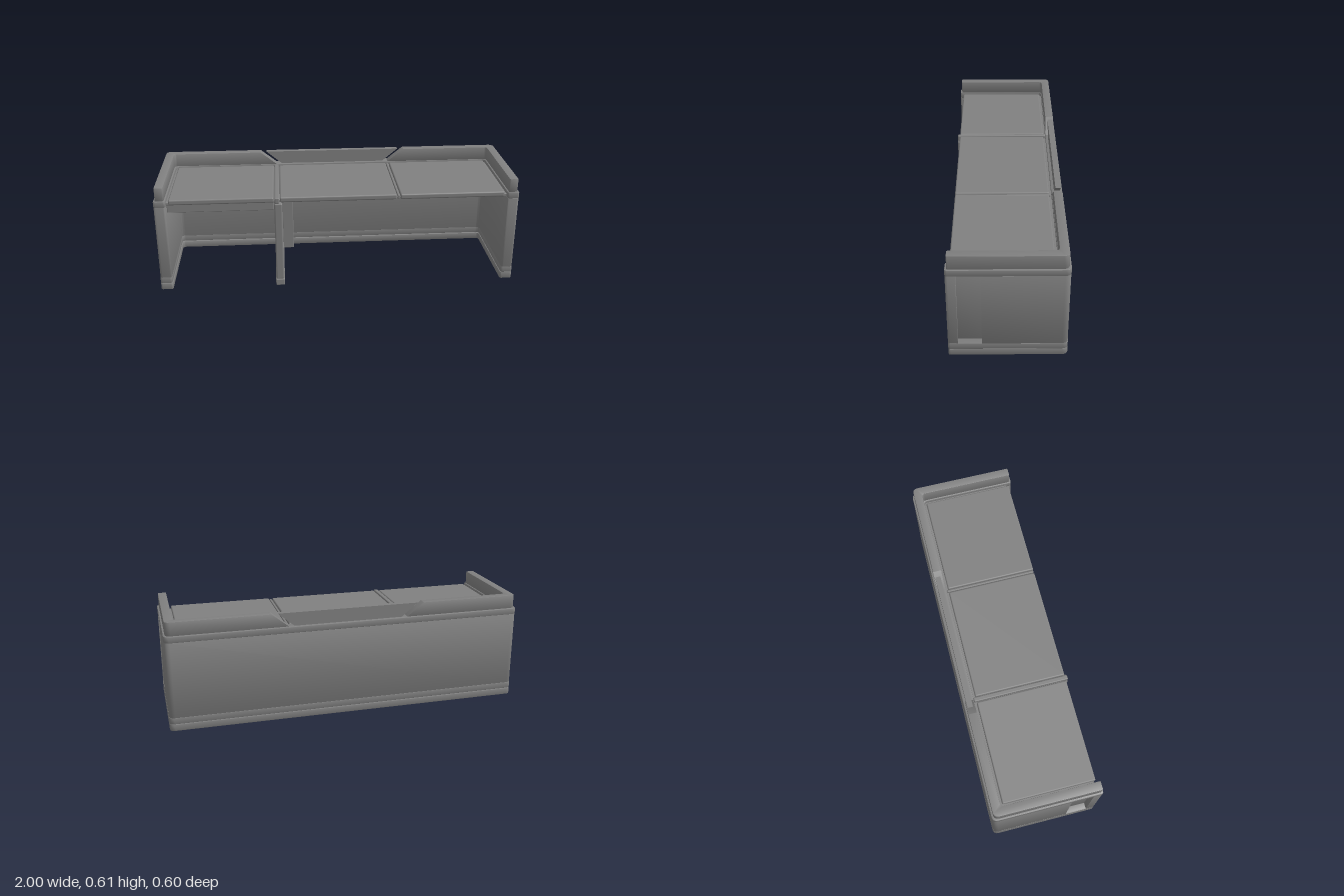
import * as THREE from 'three';
import { toCreasedNormals } from 'three/addons/utils/BufferGeometryUtils.js';
import { RoundedBoxGeometry } from 'three/addons/geometries/RoundedBoxGeometry.js';

const grey = new THREE.MeshStandardMaterial({ color: 0x808080 });
grey.name = 'grey';

// Plan outline from [x, z, cornerRadius] points, with rounded corners.
function outline(points) {
  const shape = new THREE.Shape();
  const n = points.length;
  points.forEach(([x, z, r = 0], i) => {
    const p = new THREE.Vector2(x, -z);
    const toward = ([qx, qz]) => p.clone().add(new THREE.Vector2(qx, -qz).sub(p).setLength(r));
    const a = toward(points[(i + n - 1) % n]);
    const b = toward(points[(i + 1) % n]);
    if (i === 0) shape.moveTo(a.x, a.y); else shape.lineTo(a.x, a.y);
    if (r > 0) shape.quadraticCurveTo(p.x, p.y, b.x, b.y);
  });
  shape.closePath();
  return shape;
}

// Raises a plan outline from y0 to y1 with softened edges.
function raise(shape, y0, y1, bevel) {
  const geo = new THREE.ExtrudeGeometry(shape, {
    depth: y1 - y0 - 2 * bevel, bevelThickness: bevel, bevelSize: bevel,
    bevelOffset: -bevel, bevelSegments: 2, curveSegments: 6,
  });
  return geo.rotateX(-Math.PI / 2).translate(0, y0 + bevel, 0);
}

// U-shaped wall open to the front; notch cuts a niche into both outer sides.
function wallPlan(X, zBack, zFront, side, back, notch) {
  const half = [[X, zBack, 0.03]];
  if (notch) half.push([X, 0.13], [X - notch, 0.13], [X - notch, 0.25], [X, 0.25]);
  half.push([X, zFront, 0.012], [X - side, zFront, 0.012], [X - side, zBack + back, 0.02]);
  const mirrored = half.map(([x, z, r]) => [-x, z, r]).reverse();
  return outline([...half, ...mirrored]);
}

export function createModel() {
  const group = new THREE.Group();
  const add = (name, geo) => {
    const mesh = new THREE.Mesh(geo, grey);
    mesh.name = name;
    group.add(mesh);
    return mesh;
  };
  const solid = (name, geo) => add(name, toCreasedNormals(geo, 0.6));
  const block = (name, x0, x1, y0, y1, z0, z1, r = 0.004) => {
    const geo = new RoundedBoxGeometry(x1 - x0, y1 - y0, z1 - z0, 2, r);
    add(name, geo).position.set((x0 + x1) / 2, (y0 + y1) / 2, (z0 + z1) / 2);
  };

  // Outer wall: plinth, lower band, niche panel and upper band
  solid('plinth', raise(wallPlan(1, -0.3, 0.3, 0.068, 0.068), 0, 0.039, 0.004));
  solid('lowerBand', raise(wallPlan(1, -0.3, 0.3, 0.065, 0.06), 0.04, 0.076, 0.002));
  solid('wallPanel', raise(wallPlan(0.999, -0.299, 0.3, 0.064, 0.059, 0.035), 0.075, 0.5, 0.001));
  solid('upperBand', raise(wallPlan(1, -0.3, 0.3, 0.065, 0.06), 0.499, 0.535, 0.004));

  // Raised rail, in two mirrored halves with slanted ends at the back opening
  for (const s of [1, -1]) {
    const plan = outline([
      [s * 0.43, -0.29], [s * 0.99, -0.29, 0.03], [s * 0.99, 0.29, 0.006],
      [s * 0.943, 0.29, 0.006], [s * 0.943, -0.243, 0.02], [s * 0.43, -0.243],
    ]);
    const geo = raise(plan, 0.533, 0.61, 0.002);
    const pos = geo.attributes.position;
    for (let i = 0; i < pos.count; i++) {
      const x = pos.getX(i);
      if (Math.abs(x) < 0.5) pos.setX(i, x - s * (0.61 - pos.getY(i)) * 1.25);
    }
    geo.computeVertexNormals();
    solid(s > 0 ? 'leftRail' : 'rightRail', geo);
  }

  // Slim tapered screen filling the opening in the rail
  const screen = new THREE.Shape([[-0.305, 0.535], [0.305, 0.535], [0.395, 0.61], [-0.395, 0.61]]
    .map(([x, y]) => new THREE.Vector2(x, y)));
  solid('screen', new THREE.ExtrudeGeometry(screen, { depth: 0.03, bevelEnabled: false })
    .translate(0, 0, -0.285));

  // Worktop: base board, three panels and the joint strip
  block('worktopBase', -0.94, 0.94, 0.5, 0.517, -0.245, 0.27);
  for (const [x0, x1] of [[-0.922, -0.353], [-0.32, 0.322], [0.343, 0.922]]) {
    block('worktopPanel', x0, x1, 0.504, 0.533, -0.228, 0.28, 0.008);
  }
  block('jointStrip', -0.349, -0.324, 0.5, 0.535, -0.24, 0.292, 0.006);
  block('jointStrip', 0.326, 0.339, 0.504, 0.529, -0.235, 0.278);

  // Under the worktop: tray, divider with its foot, and cable column
  block('tray', -0.935, -0.355, 0.45, 0.502, -0.24, 0.255);
  block('divider', -0.352, -0.308, 0.039, 0.502, -0.245, 0.293, 0.008);
  block('dividerFoot', -0.355, -0.305, 0, 0.04, -0.245, 0.295, 0.006);
  block('cableColumn', -0.31, -0.245, 0, 0.502, -0.245, -0.18);

  return group;
}
